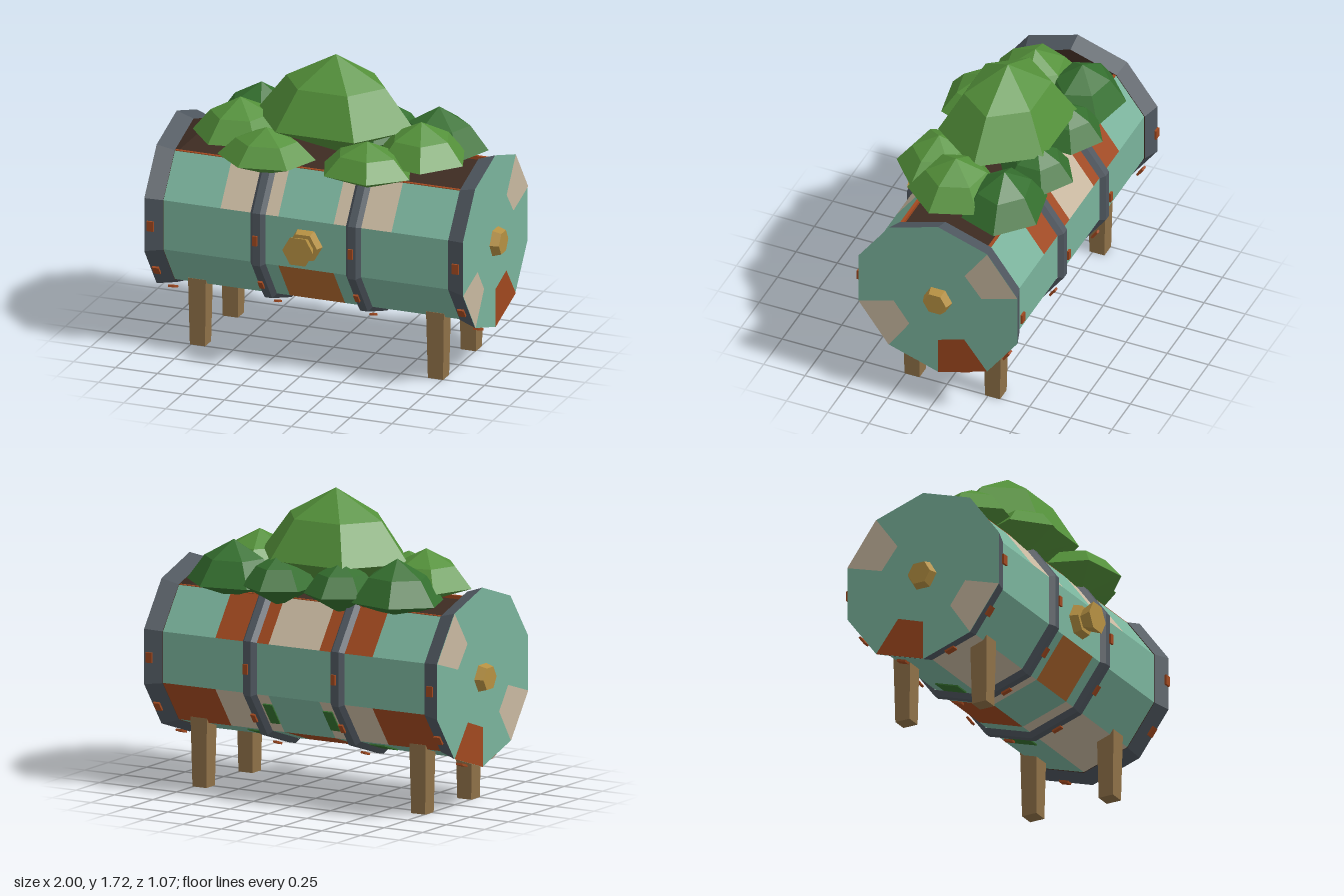
import * as THREE from 'three';

const mat = (name, color, side = THREE.FrontSide) =>
  Object.assign(new THREE.MeshStandardMaterial({ color, flatShading: true, side }), { name });
const teal = mat('teal paint', 0x7ab39c);
const beige = mat('beige paint', 0xc8b8a0);
const rust = mat('rust', 0xa0481f);
const orange = mat('orange brown', 0xb0682e);
const slate = mat('slate metal', 0x4f575f);
const wood = mat('wood', 0x8f7148);
const brass = mat('brass', 0xb59042);
const leaf = mat('light leaf', 0x54913a);
const darkLeaf = mat('dark leaf', 0x35702f);
const soil = mat('soil', 0x3d2b22);

// Barrel axis runs along x through (CY, CZ); ten sides, a corner on top
const CY = 0.747, CZ = -0.035, R = 0.469, RIM = 0.507, STEP = Math.PI / 5;
const ring = (k, r, x) => [x, CY + r * Math.cos(k * STEP), CZ + r * Math.sin(k * STEP)];

export function createModel() {
  const model = new THREE.Group();
  const add = (name, geo, material, x = 0, y = 0, z = 0, parent = model) => {
    const m = new THREE.Mesh(geo, material);
    m.name = name;
    m.position.set(x, y, z);
    parent.add(m);
    return m;
  };

  // One or more flat sides of a ten-sided ring between two x stations
  const sides = (faces, x0, r0, x1, r1) => {
    const pos = [];
    for (const k of faces) {
      const a = ring(k, r0, x0), b = ring(k, r1, x1), c = ring(k + 1, r1, x1), d = ring(k + 1, r0, x0);
      pos.push(...a, ...d, ...c, ...a, ...c, ...b);
    }
    const g = new THREE.BufferGeometry();
    g.setAttribute('position', new THREE.Float32BufferAttribute(pos, 3));
    g.computeVertexNormals();
    return g;
  };

  // Barrel panels: colours at the centre, next to it and at the ends of each side
  const panels = {
    1: [teal, beige, teal], 2: [teal, teal, teal], 3: [orange, teal, teal], 4: [teal, beige, beige],
    5: [rust, teal, teal], 6: [teal, beige, rust], 7: [teal, teal, teal], 8: [beige, rust, teal],
  };
  for (const [k, [mid, near, end]] of Object.entries(panels)) {
    const spans = [[-0.85, -0.51, end], [-0.51, -0.165, near], [-0.165, 0.165, mid],
      [0.165, 0.51, near], [0.51, 0.85, end]];
    for (const [x0, x1, m] of spans) add('barrelPanel', sides([+k], x0, R, x1, R), m);
  }

  // Flat polygon on an end of the barrel, points given as (z, y)
  const endPlate = (points, s) => {
    const g = new THREE.ShapeGeometry(new THREE.Shape(points.map(([z, y]) => new THREE.Vector2(-s * z, y))));
    return g.rotateY(s * Math.PI / 2);
  };
  const decagon = r => Array.from({ length: 10 }, (_, k) => ring(k, r, 0).slice(1).reverse());
  const patches = [
    [beige, [[-0.333, 1.157], [-0.197, 0.964], [-0.298, 0.836], [-0.517, 0.904]]],
    [beige, [[0.447, 0.59], [0.234, 0.658], [0.138, 0.525], [0.263, 0.337]]],
    [rust, [[-0.035, 0.241], [-0.035, 0.466], [-0.193, 0.52], [-0.333, 0.337]]],
  ];
  const all = [0, 1, 2, 3, 4, 5, 6, 7, 8, 9], lower = [1, 2, 3, 4, 5, 6, 7, 8];

  for (const s of [-1, 1]) {
    // End cap with painted patches, flared rim and inner wall
    add('endCap', endPlate(decagon(RIM), s), teal, s * 0.95);
    for (const [m, pts] of patches) add('endPatch', endPlate(pts, s), m, s * 0.953);
    add('endRim', s > 0 ? sides(all, 0.85, 0.473, 0.95, RIM) : sides(all, -0.95, RIM, -0.85, 0.473), slate);
    add('innerWall', endPlate(decagon(0.473), -s), soil, s * 0.85);

    // Hex plug in the end cap
    const plug = new THREE.CylinderGeometry(0.07, 0.086, 0.05, 6).rotateZ(-s * Math.PI / 2);
    add('endPlug', plug, brass, s * 0.975, CY, CZ);

    // Raised metal hoop
    const hoop = [[-0.045, 0.471], [-0.022, 0.5], [0.022, 0.5], [0.045, 0.471]];
    for (let i = 0; i < 3; i++) {
      const [x0, r0] = hoop[i], [x1, r1] = hoop[i + 1];
      add('hoop', sides(lower, s * 0.285 + x0, r0, s * 0.285 + x1, r1), slate);
    }

    // Rivets on rim and hoop
    for (const [x, w] of [[0.91, 0.04], [0.285, 0.027]]) {
      for (const k of [2.5, 3.5, 4.5, 5.5, 6.5, 7.5]) {
        const [px, py, pz] = ring(k, 0.496, s * x);
        add('rivet', new THREE.BoxGeometry(w, 0.012, 0.058), rust, px, py, pz).rotation.x = k * STEP;
      }
    }

    // Small green plates underneath
    for (const [k, x, w] of [[5.5, 0.395, 0.1], [6.5, 0.195, 0.06]]) {
      const [px, py, pz] = ring(k, R * Math.cos(STEP / 2) + 0.003, s * x);
      add('greenPlate', new THREE.BoxGeometry(w, 0.009, 0.15), darkLeaf, px, py, pz).rotation.x = k * STEP;
    }

    // Tapered legs
    for (const z of [0.21, -0.278]) {
      const g = new THREE.CylinderGeometry(0.075, 0.064, 0.395, 4).rotateY(Math.PI / 4);
      add('leg', g, wood, s * 0.71, 0.1975, z);
    }
  }

  // Soil and the rusty lips of the opening
  add('soil', new THREE.PlaneGeometry(1.7, 0.55).rotateX(-Math.PI / 2), soil, 0, 1.11, CZ);
  for (const z of [0.231, -0.301]) add('openingLip', new THREE.BoxGeometry(1.7, 0.03, 0.018), rust, 0, 1.115, z);

  // Spigot: collar and flared hex knob
  const hex = (rFront, rBack, len) =>
    new THREE.CylinderGeometry(rFront, rBack, len, 6).rotateY(Math.PI / 6).rotateX(Math.PI / 2);
  const spigot = new THREE.Group();
  spigot.name = 'spigot';
  model.add(spigot);
  add('spigotCollar', hex(0.085, 0.1, 0.05), brass, 0, CY, 0.435, spigot);
  add('spigotKnob', hex(0.092, 0.062, 0.075), brass, 0, CY, 0.4975, spigot);

  // Six-sided bushes: hollow cone below, two-step dome above
  const bush = (name, material, [x, z], [rx, rz], [tip, base, top], turn = Math.PI / 6) => {
    const h = top - base;
    const pts = [[0, tip], [1, base], [0.63, base + h * 0.58], [0, top]].map(p => new THREE.Vector2(...p));
    add(name, new THREE.LatheGeometry(pts, 6).rotateY(turn).scale(rx, 1, rz), material, x, 0, z);
  };
  bush('mainBush', leaf, [0, CZ], [0.47, 0.368], [1.15, 1.335, 1.72]);
  for (const s of [-1, 1]) {
    bush('sideBush', leaf, [s * 0.54, 0.04], [0.27, 0.27], [1.12, 1.21, 1.42], s * 0.35);
    bush('frontBush', leaf, [s * 0.3, 0.25], [0.28, 0.23], [1.07, 1.17, 1.345], s * 0.3);
    bush('outerBackBush', darkLeaf, [s * 0.53, -0.25], [0.28, 0.24], [1.08, 1.17, 1.41], s * 0.75);
    bush('innerBackBush', darkLeaf, [s * 0.2, -0.3], [0.21, 0.22], [1.07, 1.19, 1.38], 0);
  }
  return model;
}
